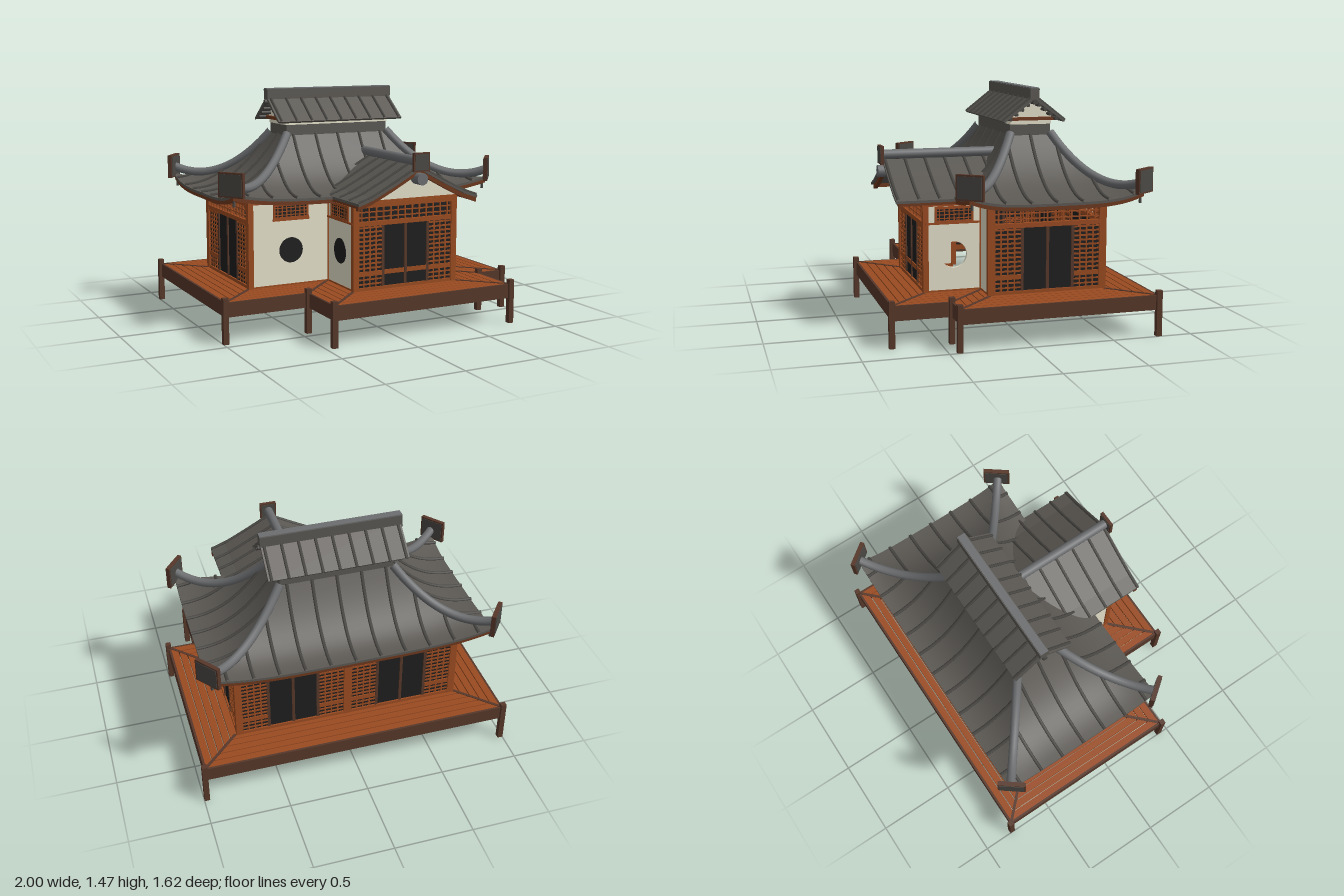
import * as THREE from 'three';

const mat = (name, color, side = THREE.FrontSide) =>
  Object.assign(new THREE.MeshStandardMaterial({ color, side }), { name });
const M = {
  wood: mat('orange wood', 0x9a4b20),
  dark: mat('dark brown wood', 0x57382a),
  eave: mat('eave wood', 0x6e381d, THREE.DoubleSide),
  plaster: mat('cream plaster', 0xe6e1cb),
  black: mat('dark panel', 0x1e1e1e),
  tile: mat('roof tile', 0x5b5853, THREE.DoubleSide),
  rib: mat('tile rib', 0x4a4844),
  ridge: mat('ridge grey', 0x6c6e70),
};
const ZC = -0.185; // main roof centre in z

function add(parent, geo, material, name, x = 0, y = 0, z = 0, ry = 0) {
  const m = new THREE.Mesh(geo, material);
  m.name = name;
  m.position.set(x, y, z);
  m.rotation.y = ry;
  parent.add(m);
}
const box = (p, name, m, w, h, d, x, y, z, ry) => add(p, new THREE.BoxGeometry(w, h, d), m, name, x, y, z, ry);
function group(parent, name, x = 0, y = 0, z = 0, ry = 0) {
  const g = new THREE.Group();
  g.name = name;
  g.position.set(x, y, z);
  g.rotation.y = ry;
  parent.add(g);
  return g;
}
function tube(p, name, m, pts, r, sides, steps) {
  const curve = new THREE.CatmullRomCurve3(pts.map(a => new THREE.Vector3(...a)));
  add(p, new THREE.TubeGeometry(curve, steps, r, sides), m, name);
}

// T-shaped plan, moved inwards by d
const plan = d => [
  [-0.985 + d, -0.795 + d], [0.982 - d, -0.795 + d], [0.982 - d, 0.435 - d], [0.798 - d, 0.435 - d],
  [0.798 - d, 0.793 - d], [-0.445 + d, 0.793 - d], [-0.445 + d, 0.435 - d], [-0.985 + d, 0.435 - d],
];
const toShape = pts => new THREE.Shape(pts.map(a => new THREE.Vector2(...a)));
function ring(p, name, m, d0, d1, top, h) {
  const s = toShape(plan(d0));
  s.holes.push(toShape(plan(d1)));
  const g = new THREE.ExtrudeGeometry(s, { depth: h, bevelEnabled: false });
  add(p, g.rotateX(Math.PI / 2), m, name, 0, top, 0);
}

function deck(root) {
  const g = group(root, 'deck');
  ring(g, 'deckSkirt', M.dark, 0, 0.014, 0.25, 0.09);
  for (let i = 0; i < 5; i++) ring(g, 'deckBoards', M.wood, 0.014 + i * 0.05, 0.058 + i * 0.05, 0.25, 0.02);
  const inner = plan(0.25);
  plan(0).forEach(([x, z], i) => {
    box(g, 'deckPost', M.dark, 0.034, 0.28, 0.034, x, 0.14, z);
    const [a, b] = inner[i];
    box(g, 'mitreStrip', M.dark, Math.hypot(a - x, b - z), 0.03, 0.018,
      (x + a) / 2, 0.238, (z + b) / 2, -Math.atan2(b - z, a - x));
  });
}

// Sliding door bay, facing its own +z; lattice shows on both faces
function doorBay(root, x, z, ry, isFront) {
  const g = group(root, 'doorBay', x, 0, z, ry);
  box(g, 'doorPanel', M.black, 0.69, 0.4, 0.008, 0, 0.455, 0);
  for (const [y, h] of [[0.258, 0.022], [0.666, 0.028], [0.778, 0.026]]) box(g, 'rail', M.wood, 0.71, h, 0.03, 0, y, 0);
  for (const s of [-1, 1]) {
    box(g, 'bayPost', M.wood, 0.024, 0.53, 0.034, s * 0.342, 0.515, 0);
    box(g, 'doorStile', M.dark, 0.018, 0.4, 0.024, s * 0.16, 0.455, 0);
    box(g, 'lowRail', M.wood, 0.17, 0.03, 0.022, s * 0.248, 0.354, 0);
    for (let i = 0; i < 3; i++)
      box(g, 'latticeUpright', M.wood, 0.009, 0.39, 0.018, s * (0.208 + i * 0.042), 0.46, 0);
    for (let i = 0; i < 10; i++)
      box(g, 'latticeBar', M.wood, 0.17, 0.011, 0.018, s * 0.248, 0.39 + i * 0.028, 0);
    for (const y of [0.289, 0.318]) box(g, 'latticeBar', M.wood, 0.17, 0.01, 0.018, s * 0.248, y, 0);
  }
  box(g, 'doorStile', M.dark, 0.018, 0.4, 0.024, 0, 0.455, 0);
  // Open transom grille
  for (let i = -6; i <= 6; i++) box(g, 'transomUpright', M.wood, 0.008, 0.1, 0.012, i * 0.051, 0.72, 0);
  for (const y of [0.703, 0.737]) box(g, 'transomBar', M.wood, 0.68, 0.007, 0.012, 0, y, 0);
  if (isFront) {
    box(g, 'transomBack', M.black, 0.69, 0.1, 0.006, 0, 0.72, -0.012);
    box(g, 'midRail', M.wood, 0.32, 0.028, 0.02, 0, 0.356, 0);
  }
}

// Plaster wall facing +z; opening is 'hole', 'disc' or none
function plasterWall(root, w, x, z, ry, opening, beam) {
  const g = group(root, 'plasterWall', x, 0, z, ry);
  const s = toShape([[-w / 2, 0.25], [w / 2, 0.25], [w / 2, 0.79], [-w / 2, 0.79]]);
  if (opening === 'hole') s.holes.push(new THREE.Path().absarc(0, 0.475, 0.08, 0, Math.PI * 2, true));
  add(g, new THREE.ExtrudeGeometry(s, { depth: 0.02, bevelEnabled: false, curveSegments: 24 }), M.plaster, 'wall', 0, 0, -0.01);
  box(g, 'wallSill', M.wood, w, 0.01, 0.026, 0, 0.255, 0);
  box(g, 'wallHead', M.wood, w, 0.02, 0.028, 0, 0.784, 0);
  if (!opening) return;
  if (opening === 'disc')
    add(g, new THREE.CylinderGeometry(0.08, 0.08, 0.026, 28).rotateX(Math.PI / 2), M.black, 'roundWindow', 0, 0.475, 0);
  // Small lattice window
  box(g, 'windowPane', M.black, 0.23, 0.085, 0.026, 0, 0.722, 0);
  for (const y of [0.68, 0.764]) box(g, 'windowRail', M.wood, 0.24, 0.016, 0.036, 0, y, 0);
  for (const a of [-1, 1]) box(g, 'windowSide', M.wood, 0.014, 0.09, 0.036, a * 0.113, 0.722, 0);
  for (let i = -3; i <= 3; i++) box(g, 'windowUpright', M.wood, 0.007, 0.085, 0.032, i * 0.03, 0.722, 0);
  for (let i = -1; i <= 1; i++) box(g, 'windowBar', M.wood, 0.23, 0.006, 0.032, 0, 0.722 + i * 0.022, 0);
  box(g, 'windowLedge', M.wood, beam ? w : 0.25, 0.012, 0.04, 0, 0.67, 0);
}

function walls(root) {
  const g = group(root, 'walls');
  const H = Math.PI / 2;
  doorBay(g, 0.1775, 0.53, 0, true);
  for (const s of [-1, 1]) {
    doorBay(g, -0.005 + s * 0.356, -0.54, Math.PI, false);
    doorBay(g, -0.005 + s * 0.713, -0.181, s * H, false);
  }
  plasterWall(g, 0.543, -0.4465, 0.178, 0, 'disc', false);
  plasterWall(g, 0.178, 0.619, 0.178, 0, null, false);
  plasterWall(g, 0.352, 0.53, 0.354, H, 'hole', true);
  plasterWall(g, 0.352, -0.175, 0.354, -H, 'disc', true);
  const corners = [[-0.718, -0.54], [0.708, -0.54], [0.708, 0.178], [0.53, 0.178],
    [0.53, 0.53], [-0.175, 0.53], [-0.175, 0.178], [-0.718, 0.178], [-0.005, -0.54]];
  for (const [x, z] of corners) box(g, 'cornerPost', M.wood, 0.034, 0.55, 0.034, x, 0.525, z);
  ring(g, 'wallPlate', M.wood, 0.248, 0.28, 0.808, 0.018);
}

// Main hipped roof: t runs from neck (0) to eave (1), s along the side
const HX = t => 0.36 + 0.54 * t, HZ = t => 0.13 + 0.415 * t;
const roofY = (t, s) => 0.82 + 0.35 * Math.max(0, 1 - t) ** 2.2 + 0.06 * t * t * s ** 4;
function roofPoint(side, t, s) {
  const sign = side % 2 ? -1 : 1, y = roofY(t, s);
  return side < 2 ? [s * HX(t), y, ZC + sign * HZ(t)] : [sign * HX(t), y, ZC + s * HZ(t)];
}
function sheet(p, name, m, f, nu, nv) {
  const pos = [], idx = [];
  for (let j = 0; j <= nv; j++) for (let i = 0; i <= nu; i++) {
    pos.push(...f(i / nu, j / nv));
    if (i < nu && j < nv) {
      const a = j * (nu + 1) + i, b = a + nu + 1;
      idx.push(a, b, a + 1, b, b + 1, a + 1);
    }
  }
  const g = new THREE.BufferGeometry();
  g.setAttribute('position', new THREE.Float32BufferAttribute(pos, 3));
  g.setIndex(idx);
  g.computeVertexNormals();
  add(p, g, m, name);
}
function mainRoof(root) {
  const g = group(root, 'mainRoof');
  for (let k = 0; k < 4; k++) {
    const drop = (t, s, d) => { const a = roofPoint(k, t, s); a[1] -= d; return a; };
    sheet(g, 'roofSlope', M.tile, (u, t) => roofPoint(k, t, 2 * u - 1), 24, 14);
    sheet(g, 'roofEdge', M.tile, (u, v) => drop(1, 2 * u - 1, v * 0.016), 24, 1);
    // Fascia board with its underside
    sheet(g, 'fascia', M.eave, (u, v) => drop(0.985, 2 * u - 1, 0.01 + v * 0.03), 24, 1);
    sheet(g, 'fasciaUnderside', M.eave, (u, v) => drop(0.985 - v * 0.07, 2 * u - 1, 0.04), 24, 1);
    // Straight ribs up the slope, stopping at the hip or neck
    const half = k < 2 ? HX : HZ, n = k < 2 ? 5 : 3;
    for (let i = -n; i <= n; i++) {
      const c = i * 0.158;
      const t0 = Math.max(0, (Math.abs(c) - half(0)) / (half(1) - half(0)));
      const pts = [];
      for (let j = 0; j <= 8; j++) {
        const t = t0 + (1.005 - t0) * j / 8;
        pts.push(drop(t, c / half(t), -0.004));
      }
      tube(g, 'roofRib', M.rib, pts, 0.011, 5, 12);
    }
  }
  // Hip ridges with upright end plaques
  for (const sx of [-1, 1]) for (const sz of [-1, 1]) {
    const pts = [];
    for (let j = 0; j <= 10; j++) {
      const t = j / 10;
      pts.push([sx * HX(t), roofY(t, 1) + 0.01 + 0.04 * t ** 4, ZC + sz * HZ(t)]);
    }
    tube(g, 'hipRidge', M.ridge, pts, 0.028, 10, 24);
    const q = group(g, 'hipPlaque', sx * 0.9, 0.933, ZC + sz * 0.535, Math.atan2(sx * 0.54, sz * 0.415));
    box(q, 'plaqueFrame', M.dark, 0.17, 0.15, 0.026, 0, 0, 0);
    box(q, 'plaqueFace', M.rib, 0.15, 0.13, 0.032, 0, 0, 0);
    add(q, new THREE.CylinderGeometry(0.007, 0.01, 0.05, 8), M.rib, 'eaveBell', 0, -0.11, -0.025);
  }
}

// Gabled upper roof on the neck
function upperRoof(root) {
  const g = group(root, 'upperRoof', 0, 0, ZC);
  box(g, 'neck', M.tile, 0.725, 0.125, 0.262, 0, 1.1725, 0);
  const extrude = (pts, len) => new THREE.ExtrudeGeometry(toShape(pts), { depth: len, bevelEnabled: false })
    .translate(0, 0, -len / 2).rotateY(Math.PI / 2);
  const rod = (name, r, len, y, z) =>
    add(g, new THREE.CylinderGeometry(r, r, len, 10).rotateZ(Math.PI / 2), M.rib, name, 0, y, z);
  add(g, extrude([[-0.132, 1.235], [0.132, 1.235], [0.132, 1.305], [0, 1.4], [-0.132, 1.305]], 0.74), M.plaster, 'gableWall');
  add(g, extrude([[-0.2, 1.262], [-0.192, 1.252], [0, 1.392], [0.192, 1.252], [0.2, 1.262], [0, 1.415]], 0.89), M.tile, 'upperSlopes');
  box(g, 'upperRidge', M.tile, 0.9, 0.065, 0.06, 0, 1.428, 0);
  box(g, 'ridgeCap', M.ridge, 0.9, 0.006, 0.05, 0, 1.463, 0);
  rod('ridgePurlin', 0.016, 0.92, 1.378, 0);
  for (const s of [-1, 1]) {
    box(g, 'gableBeam', M.eave, 0.03, 0.02, 0.3, s * 0.375, 1.27, 0);
    for (let i = 1; i <= 4; i++) rod('purlin', 0.011, 0.87, 1.386 - i * 0.0285, s * i * 0.037);
    for (let i = -4; i <= 4; i++)
      tube(g, 'upperRib', M.rib, [[i * 0.106, 1.41, s * 0.012], [i * 0.106, 1.262, s * 0.203]], 0.01, 5, 1);
  }
}

// Front gable roof over the entrance
function porchRoof(root) {
  const g = group(root, 'porchRoof', 0.172, 0, 0);
  const profile = [[0, 1.022], [0.17, 0.93], [0.32, 0.855], [0.415, 0.822]];
  const band = (top, bottom, name, m, z0, z1) => {
    const half = d => profile.map(([x, y]) => [x, y - d]);
    const full = d => [...half(d).slice(1).reverse().map(([x, y]) => [-x, y]), ...half(d)];
    const s = toShape([...full(top), ...full(bottom).reverse()]);
    add(g, new THREE.ExtrudeGeometry(s, { depth: z1 - z0, bevelEnabled: false }), m, name, 0, 0, z0);
  };
  band(0, 0.016, 'porchSlopes', M.tile, -0.03, 0.715);
  band(0.016, 0.044, 'bargeBoard', M.eave, 0.675, 0.7);
  const gable = toShape([[-0.36, 0.78], [0.36, 0.78], [0.36, 0.82], [0, 1.0], [-0.36, 0.82]]);
  add(g, new THREE.ExtrudeGeometry(gable, { depth: 0.02, bevelEnabled: false }), M.plaster, 'porchGable', 0, 0, 0.52);
  box(g, 'gableTie', M.wood, 0.73, 0.02, 0.04, 0, 0.785, 0.53);
  for (const s of [-1, 1]) {
    box(g, 'porchFascia', M.eave, 0.02, 0.028, 0.5, s * 0.4, 0.804, 0.45);
    for (let i = 0; i < 6; i++) {
      const z = 0.07 + i * 0.126;
      tube(g, 'porchRib', M.rib, profile.map(([x, y]) => [s * x, y + 0.004, z]), 0.01, 5, 8);
    }
  }
  add(g, new THREE.CylinderGeometry(0.03, 0.03, 0.74, 12).rotateX(Math.PI / 2), M.ridge, 'porchRidge', 0, 1.053, 0.35);
  box(g, 'porchPlaque', M.dark, 0.11, 0.115, 0.02, 0, 1.052, 0.725);
  box(g, 'porchPlaqueFace', M.rib, 0.092, 0.097, 0.026, 0, 1.052, 0.725);
  add(g, new THREE.CylinderGeometry(0.037, 0.037, 0.08, 16).rotateX(Math.PI / 2), M.ridge, 'ridgeEnd', 0, 0.95, 0.708);
}

export function createModel() {
  const root = new THREE.Group();
  root.name = 'pavilion';
  deck(root);
  walls(root);
  mainRoof(root);
  upperRoof(root);
  porchRoof(root);
  return root;
}
